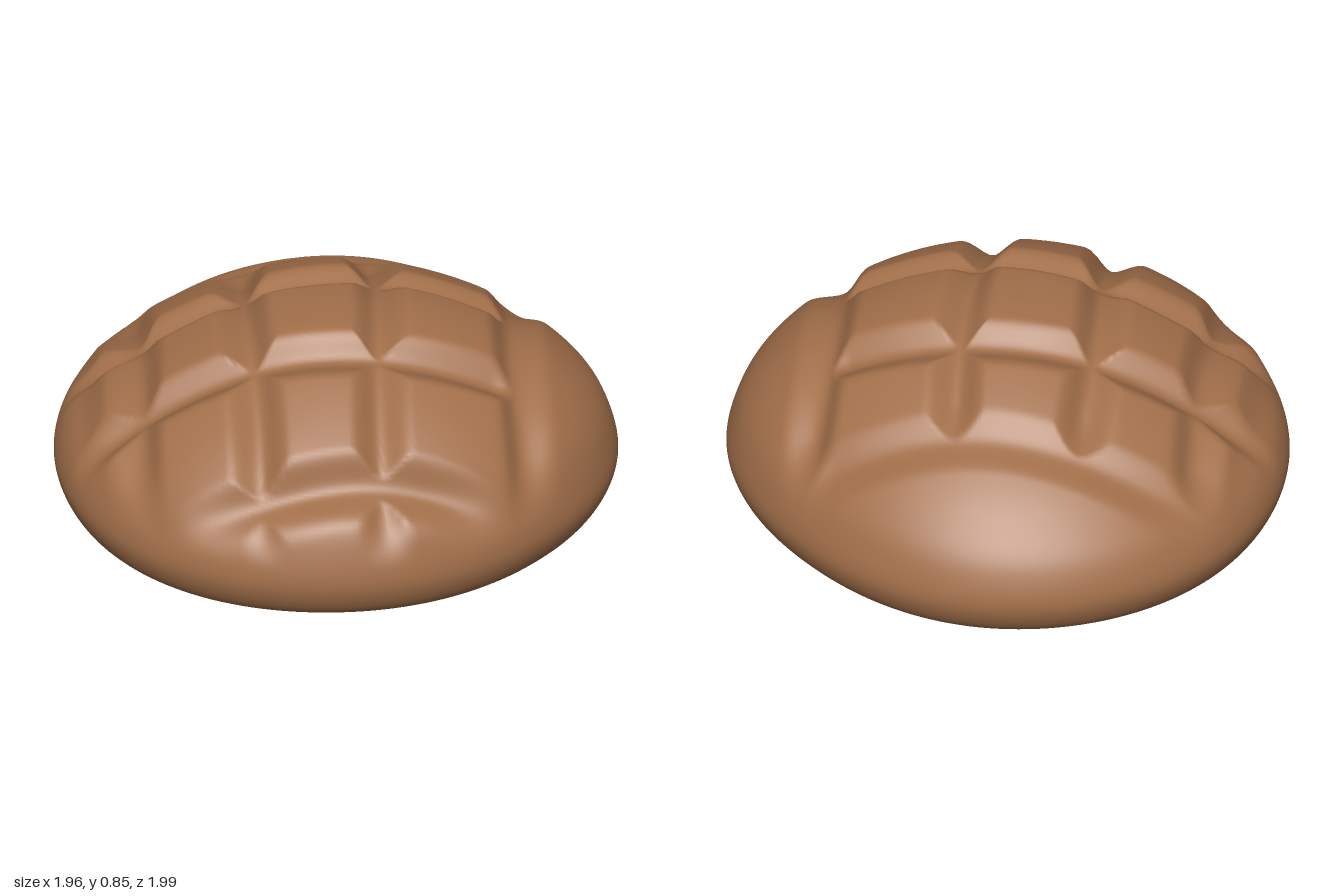
import * as THREE from 'three';
import { mergeVertices } from 'three/addons/utils/BufferGeometryUtils.js';

// Diagonal score lines as [offset, depth]; u = x + z, v = x - z
const U_CUTS = [[-1.28, 0.025], [-1.0, 0.05], [-0.42, 0.062], [0.25, 0.062], [0.98, 0.05]];
const V_CUTS = [[-1.13, 0.075], [-0.43, 0.065], [0.27, 0.06], [0.85, 0.03]];
// Outline radius every 45 degrees, from +x towards +z
const OUTLINE = [0.98, 1.05, 0.987, 0.958, 0.98, 0.988, 1.0, 0.997];
const smooth = THREE.MathUtils.smoothstep;

// Pillowy groove, bending slightly along its length
function cutDepth(across, along, cuts) {
  let depth = 0;
  for (const [offset, d] of cuts) {
    const bend = 0.02 * Math.sin(along * 3 + offset * 5);
    const dist = Math.abs(across - offset - bend);
    depth = Math.max(depth, d * (1 - smooth(dist, 0.0, 0.16)));
  }
  return depth;
}

// Smooth closed interpolation of the outline radii
function outlineRadius(angle) {
  const t = (angle / (Math.PI / 4) + 8) % 8;
  const i = Math.floor(t);
  const f = t - i;
  const [a, b, c, d] = [7, 0, 1, 2].map((k) => OUTLINE[(i + k) % 8]);
  return b + 0.5 * f * (c - a + f * (2 * a - 5 * b + 4 * c - d + f * (3 * (b - c) + d - a)));
}

// Loaf silhouette from the underside centre, around the rim, to the crown
function loafProfile() {
  const rim = new THREE.SplineCurve([
    [0.0, 0.0], [0.4, 0.012], [0.75, 0.03], [0.89, 0.04], [0.96, 0.085], [1.0, 0.19],
    [0.975, 0.31], [0.91, 0.42], [0.78, 0.545], [0.615, 0.655],
    [0.42, 0.755], [0.22, 0.82], [0.0, 0.84],
  ].map(([r, y]) => new THREE.Vector2(r, y)));
  const points = rim.getSpacedPoints(170);
  points.forEach((p) => { p.x = Math.max(0, p.x); p.y = Math.max(0, p.y); });
  points[0].x = points[170].x = 0;
  return points;
}

function loafGeometry() {
  let geo = new THREE.LatheGeometry(loafProfile(), 280);
  const pos = geo.attributes.position;
  const nor = geo.attributes.normal;
  const p = new THREE.Vector3();
  const n = new THREE.Vector3();
  for (let i = 0; i < pos.count; i++) {
    p.fromBufferAttribute(pos, i);
    n.fromBufferAttribute(nor, i);
    const r = Math.hypot(p.x, p.z);
    if (r < 1e-4) n.set(0, Math.sign(p.y - 0.3), 0);

    // hand-shaped outline, fuller at the front
    const spread = outlineRadius(Math.atan2(p.z, p.x));
    p.x *= spread;
    p.z *= spread;
    p.y *= 1 + 0.08 * p.z * smooth(p.y, 0.1, 0.5);

    // scoring fades out towards the smooth sides and the uncut corners
    const u = p.x + p.z;
    const v = p.x - p.z;
    const uDepth = cutDepth(u, v, U_CUTS) * (1 - smooth(v, 0.6, 1.0));
    const vDepth = cutDepth(v, u, V_CUTS) * (1 - smooth(u, 0.85, 1.1));
    const mask = smooth(p.y, 0.26, 0.52);
    p.addScaledVector(n, mask * (0.008 - Math.max(uDepth, vDepth)));
    pos.setXYZ(i, p.x, p.y, p.z);
  }
  // weld the seam for continuous smooth normals
  geo.deleteAttribute('uv');
  geo.deleteAttribute('normal');
  geo = mergeVertices(geo, 1e-4);
  geo.computeVertexNormals();
  return geo;
}

export function createModel() {
  const crust = new THREE.MeshStandardMaterial({ color: 0xa26f4a });
  crust.name = 'brown crust';
  const loaf = new THREE.Mesh(loafGeometry(), crust);
  loaf.name = 'scoredLoaf';
  const group = new THREE.Group();
  group.name = 'breadBun';
  group.add(loaf);
  return group;
}
